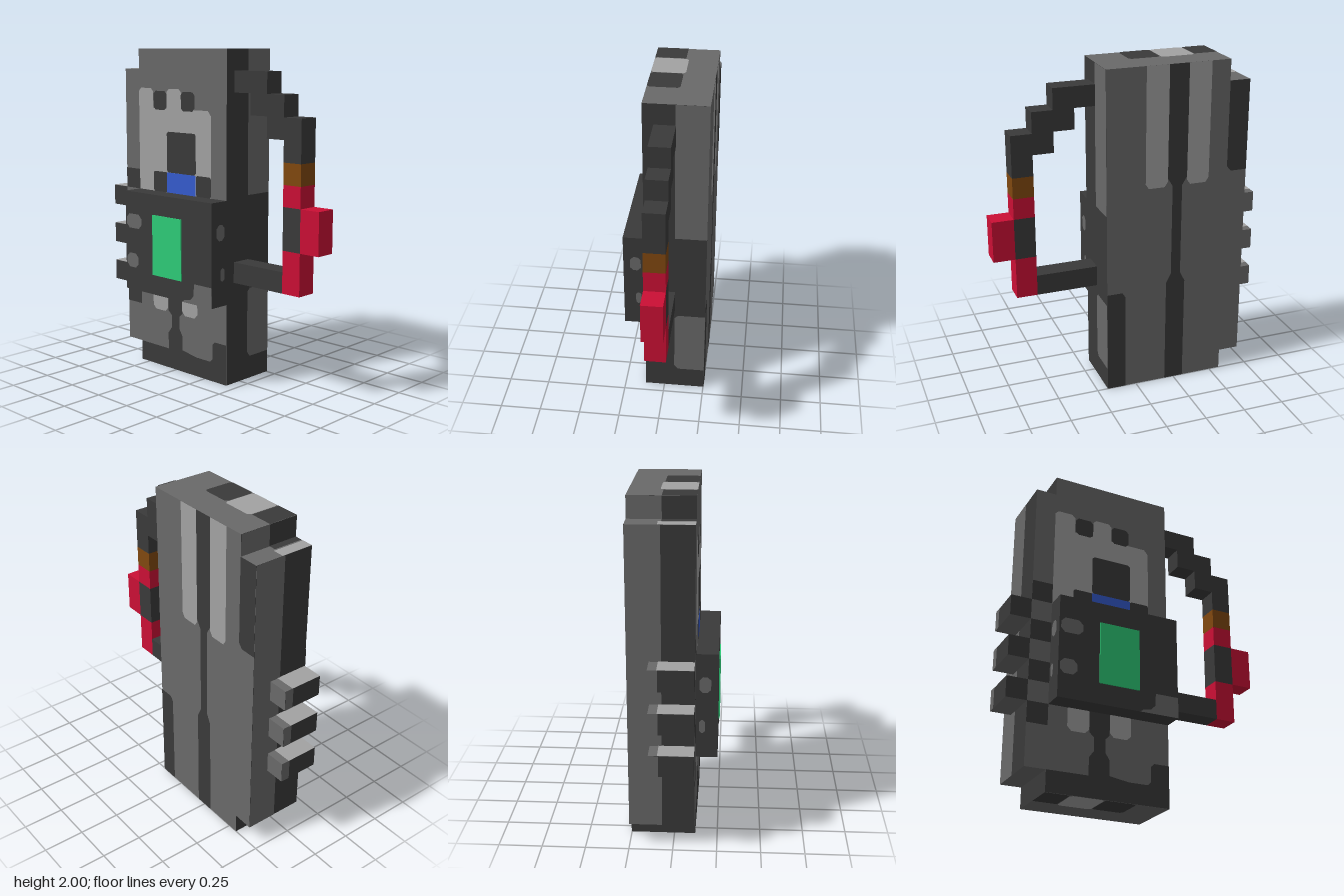
import * as THREE from 'three';

const mat = (name, color) => {
  const m = new THREE.MeshStandardMaterial({ color });
  m.name = name;
  return m;
};

export function createModel() {
  const dark = mat('dark grey', 0x3a3a3a);
  const mid = mat('mid grey', 0x696969);
  const light = mat('light grey', 0xa2a2a2);
  const red = mat('red', 0xcb0f35);
  const brown = mat('brown', 0x80480f);
  const blue = mat('blue', 0x355bcf);
  const green = mat('green', 0x2ecc78);

  const root = new THREE.Group();
  root.name = 'handheldDevice';

  // Box given by its limits; material may be an array [+x, -x, +y, -y, +z, -z]
  const box = (name, material, x0, x1, y0, y1, z0, z1) => {
    const mesh = new THREE.Mesh(new THREE.BoxGeometry(x1 - x0, y1 - y0, z1 - z0), material);
    mesh.position.set((x0 + x1) / 2, (y0 + y1) / 2, (z0 + z1) / 2);
    mesh.name = name;
    root.add(mesh);
  };

  // Flat painted patch on one side, outlined in model coordinates
  const sides = {
    front: { rot: [0, 0, 0], sign: [1, 1], axis: 'z', out: 1 },
    back: { rot: [0, Math.PI, 0], sign: [-1, 1], axis: 'z', out: -1 },
    right: { rot: [0, Math.PI / 2, 0], sign: [-1, 1], axis: 'x', out: 1 },
    left: { rot: [0, -Math.PI / 2, 0], sign: [1, 1], axis: 'x', out: -1 },
    top: { rot: [-Math.PI / 2, 0, 0], sign: [1, -1], axis: 'y', out: 1 },
    bottom: { rot: [Math.PI / 2, 0, 0], sign: [1, 1], axis: 'y', out: -1 },
  };
  const patch = (name, material, side, at, points, layer = 1) => {
    const s = sides[side];
    const shape = new THREE.Shape(points.map(([a, b]) => new THREE.Vector2(a * s.sign[0], b * s.sign[1])));
    const mesh = new THREE.Mesh(new THREE.ShapeGeometry(shape), material);
    mesh.rotation.set(...s.rot);
    mesh.position[s.axis] = at + s.out * 0.0015 * layer;
    mesh.name = name;
    root.add(mesh);
  };
  // Rectangle with cut corners
  const rect = (a0, a1, b0, b1, c = 0) => c === 0
    ? [[a0, b0], [a1, b0], [a1, b1], [a0, b1]]
    : [[a0 + c, b0], [a1 - c, b0], [a1, b0 + c], [a1, b1 - c],
      [a1 - c, b1], [a0 + c, b1], [a0, b1 - c], [a0, b0 + c]];

  const L = -0.565, R = 0.185, E = -0.69, B = -0.252, F = 0.12;

  // Main body, side strip and raised panel
  box('body', [dark, dark, mid, mid, mid, mid], L, R, 0, 2, B, F);
  box('sideStrip', [mid, dark, mid, mid, mid, mid], E, L, 0.125, 1.875, B, F);
  box('panel', dark, L, R, 0.5, 1.125, F, 0.245);
  box('screen', green, -0.315, -0.065, 0.625, 1, 0.245, 0.252);

  // Cooling fins
  for (const y of [0.5, 0.75, 1]) {
    box('fin', [dark, dark, mid, mid, dark, mid], -0.815, E, y, y + 0.125, -0.13, F);
    patch('finTop', light, 'top', y + 0.125, rect(-0.815, E, -0.08, F));
    patch('finEnd', mid, 'left', -0.815, rect(-0.13, -0.075, y, y + 0.125));
  }

  // Stepped carrying handle
  const handle = [
    ['handleStep', dark, 0.185, 0.435, 1.75, 1.875],
    ['handleStep', dark, 0.31, 0.56, 1.625, 1.75],
    ['handleStep', dark, 0.435, 0.685, 1.5, 1.625],
    ['handlePost', dark, 0.56, 0.685, 1.375, 1.5],
    ['handleBrownBand', brown, 0.56, 0.685, 1.25, 1.375],
    ['handleRedTop', red, 0.56, 0.685, 1.125, 1.25],
    ['handleGrip', dark, 0.56, 0.685, 0.875, 1.125],
    ['handleRedBottom', red, 0.56, 0.685, 0.625, 0.875],
    ['handleButton', red, 0.685, 0.815, 0.875, 1.125],
    ['handleLowerBar', dark, 0.185, 0.56, 0.625, 0.75],
  ];
  for (const [name, m, x0, x1, y0, y1] of handle) box(name, m, x0, x1, y0, y1, -0.067, 0.057);

  // Front face plate with its notched top
  patch('facePlate', light, 'front', F, [
    [L, 1.125], [0.06, 1.125], [0.06, 1.61], [0.035, 1.64], [-0.19, 1.64], [-0.19, 1.74],
    [-0.21, 1.76], [-0.295, 1.76], [-0.315, 1.74], [-0.315, 1.64], [-0.435, 1.64],
    [-0.435, 1.74], [-0.455, 1.76], [-0.545, 1.76], [L, 1.74]]);
  for (const x of [-0.43, -0.19]) patch('faceSlot', dark, 'front', F, rect(x, x + 0.115, 1.63, 1.745, 0.018), 2);
  patch('faceWindow', dark, 'front', F, rect(-0.315, -0.065, 1.25, 1.5, 0.012), 2);
  for (const x of [-0.435, -0.065]) patch('faceLowerSlot', dark, 'front', F, rect(x, x + 0.125, 1.125, 1.25, 0.01), 2);
  patch('blueLight', blue, 'front', F, rect(-0.315, -0.065, 1.125, 1.25), 3);

  // Front base: dark foot, waisted stem and two light squares
  patch('frontFoot', dark, 'front', F, [
    [L, 0], [R, 0], [R, 0.25], [0.09, 0.25], [0.07, 0.23], [0.07, 0.14], [0.05, 0.12],
    [-0.07, 0.12], [-0.19, 0.14], [-0.19, 0.23], [-0.215, 0.27], [-0.215, 0.35], [-0.19, 0.375],
    [-0.19, 0.5], [-0.315, 0.5], [-0.315, 0.375], [-0.285, 0.35], [-0.285, 0.27],
    [-0.315, 0.23], [-0.315, 0.125], [L, 0.125]]);
  for (const x of [-0.45, -0.19]) patch('frontSquare', light, 'front', F, rect(x, x + 0.133, 0.365, 0.52, 0.025), 2);

  // Dark bands on the front of the side strip
  for (const y of [0.375, 0.625, 0.875, 1.125]) patch('stripBand', dark, 'front', F, rect(E, L, y, y + 0.125));

  // Panel details
  patch('panelTab', mid, 'front', 0.245, rect(-0.555, -0.42, 0.895, 0.985, 0.025));
  patch('panelTab', mid, 'front', 0.245, rect(-0.555, -0.45, 0.645, 0.735, 0.025));
  patch('panelCorner', mid, 'front', 0.245, [
    [-0.06, 0.5], [R, 0.5], [R, 0.625], [0.04, 0.625], [0.035, 0.55], [0.01, 0.525], [-0.04, 0.515]]);
  for (const [side, at] of [['right', R], ['left', L]]) {
    patch('panelSpot', mid, side, at, rect(0.14, 0.205, 0.895, 0.99, 0.02));
    patch('panelSpot', mid, side, at, rect(0.14, 0.172, 0.65, 0.73, 0.012));
  }

  // Sides of the body and strip
  patch('sideUpper', mid, 'right', R, rect(B, -0.063, 1.14, 2));
  patch('sideLower', mid, 'right', R, [
    [B, 0.14], [-0.085, 0.14], [-0.063, 0.17], [-0.063, 0.55], [-0.085, 0.57], [B, 0.57]]);
  patch('sideTop', mid, 'left', L, rect(B, -0.063, 1.875, 2));
  patch('stripRear', mid, 'left', E, rect(B, -0.063, 0.125, 1.875));

  // Top and underside patches
  for (const [side, y] of [['top', 2], ['bottom', 0]]) {
    patch('endPatchOuter', dark, side, y, rect(L, -0.42, -0.063, F));
    patch('endPatchMiddle', light, side, y, rect(-0.415, -0.213, -0.08, F, 0.015));
    patch('endPatchInner', dark, side, y, rect(-0.21, -0.02, -0.068, F, 0.015));
  }
  patch('stripTop', light, 'top', 1.875, rect(E, -0.62, -0.08, F));
  patch('stripTopEdge', dark, 'top', 1.875, rect(-0.61, L, -0.063, F));

  // Back: waisted centre stripe, light bars and dark edges
  patch('backStripe', dark, 'back', B, [
    [-0.19, 2], [-0.19, 1.33], [-0.22, 1.28], [-0.22, 0.72], [-0.19, 0.66], [-0.19, 0],
    [-0.31, 0], [-0.31, 0.66], [-0.28, 0.72], [-0.28, 1.28], [-0.31, 1.33], [-0.31, 2]]);
  for (const x of [-0.19, -0.448]) {
    patch('backBar', light, 'back', B, [
      [x, 2], [x, 1.31], [x + 0.02, 1.28], [x + 0.118, 1.28], [x + 0.138, 1.31], [x + 0.138, 2]]);
  }
  patch('backCorner', dark, 'back', B, [[R, 0], [0.07, 0], [0.07, 0.61], [0.09, 0.64], [R, 0.64]]);
  patch('backStripTop', dark, 'back', B, [[E, 1.33], [-0.59, 1.33], [L, 1.36], [L, 1.875], [E, 1.875]]);

  return root;
}
